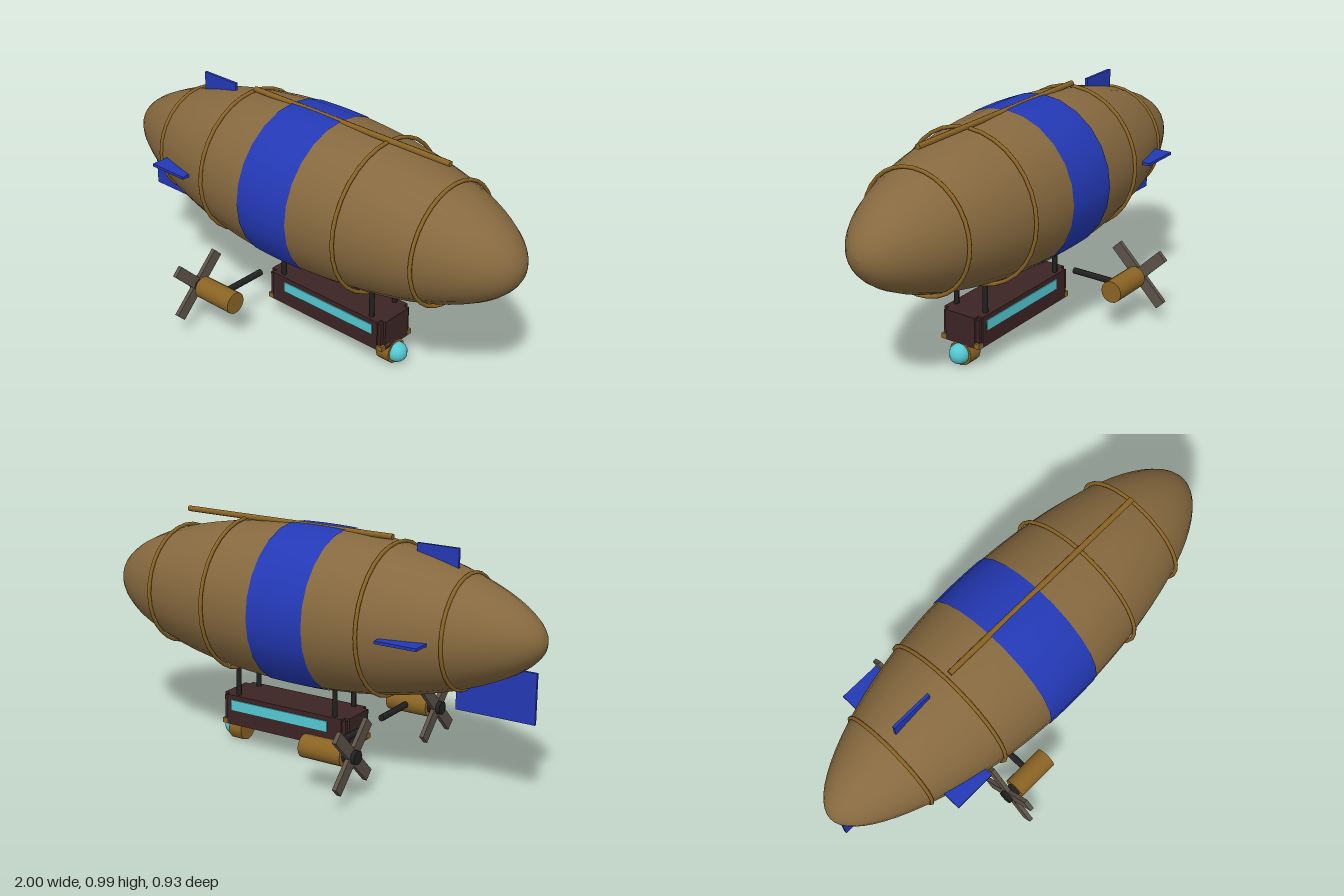
import * as THREE from 'three';

const mat = (name, color) => {
  const m = new THREE.MeshStandardMaterial({ color });
  m.name = name;
  return m;
};

export function createModel() {
  const canvas = mat('tan canvas', 0x86693f);
  const blue = mat('blue', 0x2439b6);
  const brass = mat('brass', 0x8b6424);
  const wood = mat('dark wood', 0x3c2424);
  const glass = mat('teal glass', 0x54c8d2);
  const iron = mat('black iron', 0x212122);
  const bladeGrey = mat('blade grey', 0x5c5348);

  const model = new THREE.Group();
  model.name = 'airship';
  const HULL_Y = 0.66;

  const add = (name, geo, material, x = 0, y = 0, z = 0, parent = model) => {
    const mesh = new THREE.Mesh(geo, material);
    mesh.name = name;
    mesh.position.set(x, y, z);
    parent.add(mesh);
    return mesh;
  };
  // Box given by its limits on each axis
  const box = (name, material, [x0, x1], [y0, y1], [z0, z1], parent) =>
    add(name, new THREE.BoxGeometry(x1 - x0, y1 - y0, z1 - z0), material,
      (x0 + x1) / 2, (y0 + y1) / 2, (z0 + z1) / 2, parent);
  // Cylinder lying along x
  const rodX = (name, material, r, x0, x1, y, z, sides, parent) =>
    add(name, new THREE.CylinderGeometry(r, r, x1 - x0, sides).rotateZ(-Math.PI / 2),
      material, (x0 + x1) / 2, y, z, parent);

  // Envelope: ellipsoid with a slightly slimmer tail
  const hullRadius = (x) =>
    0.331 * Math.sqrt(Math.max(0, 1 - x * x)) * (x < 0 ? 1 - 0.15 * x * x : 1);
  const hullSlice = (a0, a1, steps, offset) => {
    const pts = [];
    for (let i = 0; i <= steps; i++) {
      const x = -Math.cos(a0 + (a1 - a0) * i / steps);
      pts.push(new THREE.Vector2(hullRadius(x) + offset, x));
    }
    return new THREE.LatheGeometry(pts, 24).rotateZ(-Math.PI / 2);
  };
  add('envelope', hullSlice(0, Math.PI, 40, 0), canvas, 0, HULL_Y, 0);
  add('blueBand', hullSlice(Math.acos(0.13), Math.acos(-0.128), 6, 0.003), blue, 0, HULL_Y, 0);

  // Hoops round the envelope
  for (const [x, r] of [[-0.68, 0.227], [-0.36, 0.307], [0.36, 0.319], [0.68, 0.252]]) {
    add('hoop', new THREE.TorusGeometry(r, 0.008, 8, 32).rotateY(Math.PI / 2), brass, x, HULL_Y, 0);
  }
  rodX('topSpar', brass, 0.012, -0.34, 0.655, 0.985, 0, 8);

  // Tail fins
  box('topFin', blue, [-0.63, -0.45], [0.8, 0.978], [-0.006, 0.006]);
  box('rudder', blue, [-0.97, -0.635], [0.34, 0.545], [-0.006, 0.006]);
  for (const s of [-1, 1]) {
    add('sideFin', new THREE.BoxGeometry(0.18, 0.012, 0.18), blue, -0.54, HULL_Y, s * 0.23);
  }

  // Gondola: crossed boxes leave notched corners above a brass floor
  const gondola = new THREE.Group();
  gondola.name = 'gondola';
  model.add(gondola);
  box('cabin', wood, [-0.168, 0.405], [0.1, 0.23], [-0.095, 0.095], gondola);
  box('cabinEnds', wood, [-0.193, 0.43], [0.1, 0.23], [-0.072, 0.072], gondola);
  box('cabinCorners', wood, [-0.184, 0.42], [0.12, 0.222], [-0.088, 0.088], gondola);
  box('floor', brass, [-0.193, 0.43], [0.098, 0.12], [-0.094, 0.094], gondola);
  for (const s of [-1, 1]) {
    add('window', new THREE.BoxGeometry(0.48, 0.045, 0.006), glass, 0.14, 0.187, s * 0.096, gondola);
    for (const x of [-0.123, 0.357]) {
      add('strut', new THREE.CylinderGeometry(0.011, 0.011, 0.2, 8), iron, x, 0.3, s * 0.072, gondola);
    }
  }

  // Headlamp under the bow
  rodX('lampHousing', brass, 0.053, 0.367, 0.43, 0.057, 0, 12);
  add('lampGlass', new THREE.SphereGeometry(0.043, 16, 12), glass, 0.435, 0.058, 0);

  // Engines with four-bladed propellers
  for (const s of [-1, 1]) {
    const engine = new THREE.Group();
    engine.name = s > 0 ? 'leftEngine' : 'rightEngine';
    engine.position.set(0, 0.195, s * 0.335);
    model.add(engine);
    rodX('engineBody', brass, 0.047, -0.34, -0.15, 0, 0, 16, engine);
    rodX('hub', iron, 0.03, -0.397, -0.34, 0, 0, 8, engine);
    add('engineArm', new THREE.CylinderGeometry(0.014, 0.014, 0.245, 8).rotateX(Math.PI / 2),
      iron, -0.245, 0, -s * 0.1225, engine);
    for (let i = 0; i < 4; i++) {
      const blade = new THREE.BoxGeometry(0.018, 0.158, 0.05).translate(0, 0.079, 0);
      add('blade', blade, bladeGrey, -0.37, 0, 0, engine).rotation.x = Math.PI / 4 + i * Math.PI / 2;
    }
  }
  return model;
}
